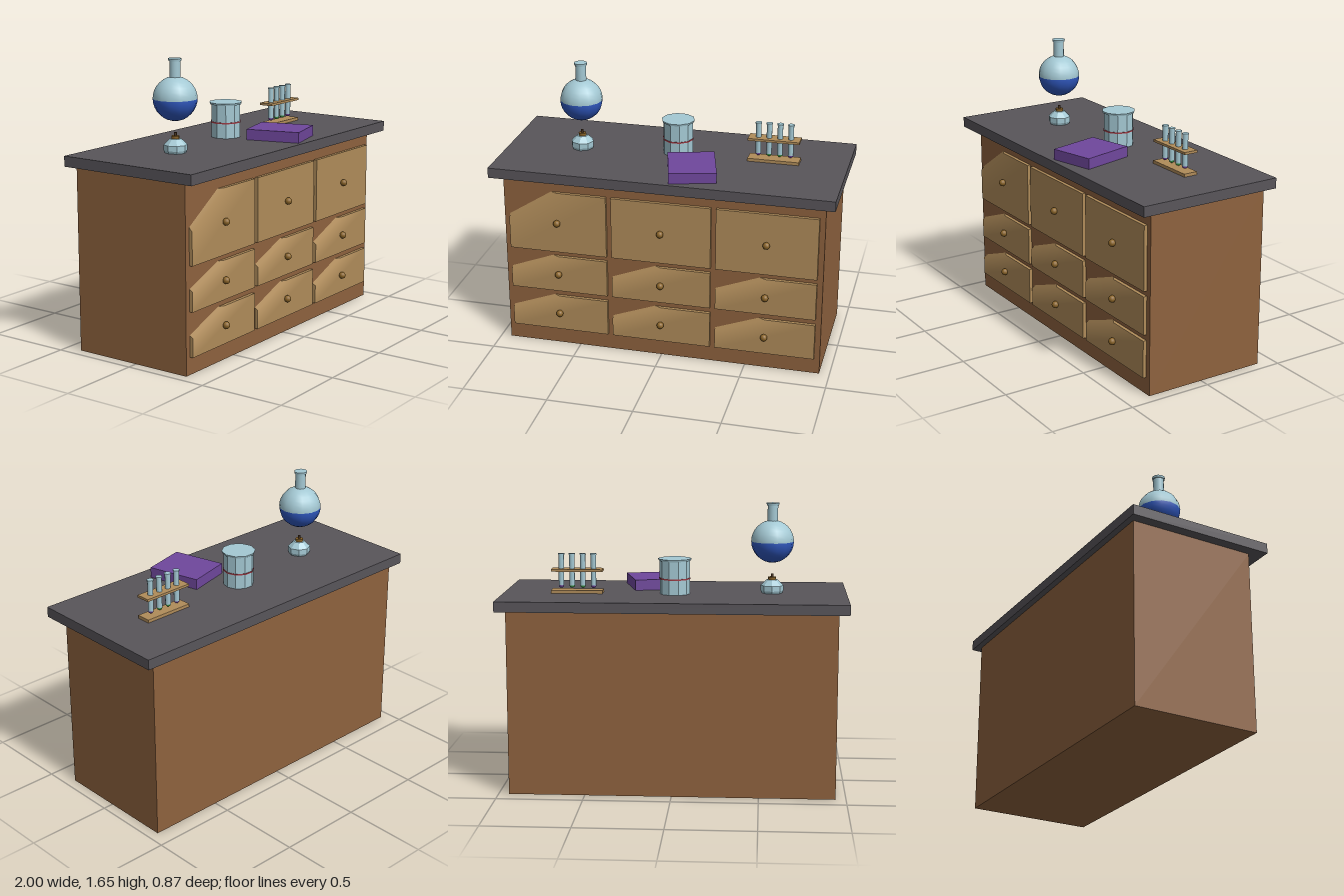
import * as THREE from 'three';

const paint = (color) => {
  const m = new THREE.MeshStandardMaterial();
  m.color.set(color);
  return m;
};
const wood = paint(0x8e623e), panel = paint(0xb08c5a), slate = paint(0x58555a);
const brass = paint(0x8a6428), glass = paint(0xa4c9d4), blue = paint(0x2f57bd);
const purple = paint(0x6f479c), red = paint(0xa03a44), green = paint(0x3f9a4a);
const glassFlat = glass.clone();
glassFlat.flatShading = true;

const TOP = 1.13; // height of the worktop surface

function add(parent, name, geometry, material, x = 0, y = 0, z = 0) {
  const mesh = new THREE.Mesh(geometry, material);
  mesh.name = name;
  mesh.position.set(x, y, z);
  parent.add(mesh);
  return mesh;
}

function group(parent, name, x, y, z) {
  const g = new THREE.Group();
  g.name = name;
  g.position.set(x, y, z);
  parent.add(g);
  return g;
}

const lathe = (points, sides) =>
  new THREE.LatheGeometry(points.map(([r, y]) => new THREE.Vector2(r, y)), sides);

// Drawer front; the upper left corner can be folded back into the cabinet
function drawerGeometry(w, h, folded) {
  const g = new THREE.BoxGeometry(w, h, 0.02, 2, 2, 1);
  const p = g.attributes.position;
  if (folded) {
    for (let i = 0; i < p.count; i++) {
      if (p.getX(i) < -w * 0.4 && p.getY(i) > h * 0.4 && p.getZ(i) > 0) p.setZ(i, -0.15);
      else if (p.getX(i) < -w * 0.4 && p.getY(i) > h * 0.4) p.setZ(i, -0.17);
    }
    g.computeVertexNormals();
  }
  return g;
}

function addDrawers(parent) {
  const rows = [[0.797, 0.375], [0.467, 0.225], [0.21, 0.22]];
  rows.forEach(([y, h], row) => {
    [-0.615, 0, 0.615].forEach((x, col) => {
      const folded = row > 0 || col === 0;
      const drawer = group(parent, 'drawer', x, y, 0.36);
      add(drawer, 'drawerFront', drawerGeometry(0.585, h, folded), panel);
      add(drawer, 'drawerKnob', new THREE.SphereGeometry(0.021, 12, 8), brass, 0, 0, 0.022);
    });
  });
}

// Round flask, half filled, hovering above the burner
function addFlask(parent) {
  const flask = group(parent, 'flask', -0.565, 1.432, 0);
  const R = 0.124, sides = 14;
  add(flask, 'flaskBulb', new THREE.SphereGeometry(R, sides, 8, 0, Math.PI * 2, 0, Math.PI / 2), glass);
  add(flask, 'flaskLiquid',
    new THREE.SphereGeometry(R, sides, 8, 0, Math.PI * 2, Math.PI / 2, Math.PI / 2), blue);
  add(flask, 'flaskNeck', new THREE.CylinderGeometry(0.031, 0.031, 0.11, sides), glass, 0, 0.16, 0);
  add(flask, 'flaskLip', new THREE.CylinderGeometry(0.038, 0.036, 0.014, sides), glass, 0, 0.216, 0);
}

function addBurner(parent) {
  const burner = group(parent, 'burner', -0.565, TOP, 0);
  add(burner, 'burnerBody',
    lathe([[0, 0], [0.06, 0], [0.067, 0.015], [0.067, 0.045], [0.032, 0.078], [0, 0.078]], 8), glassFlat);
  add(burner, 'burnerCollar', new THREE.CylinderGeometry(0.023, 0.023, 0.016, 8), brass, 0, 0.086, 0);
  add(burner, 'burnerWick', new THREE.CylinderGeometry(0.008, 0.008, 0.026, 8),
    paint(0x4a3420), 0, 0.1, 0);
}

function addBeaker(parent) {
  const beaker = group(parent, 'beaker', 0, TOP, -0.063);
  beaker.rotation.y = Math.PI / 10;
  add(beaker, 'beakerBody', new THREE.CylinderGeometry(0.088, 0.088, 0.2, 10), glassFlat, 0, 0.1, 0);
  add(beaker, 'beakerLip', new THREE.CylinderGeometry(0.098, 0.094, 0.012, 10), glassFlat, 0, 0.2, 0);
  add(beaker, 'beakerBand', new THREE.CylinderGeometry(0.091, 0.091, 0.008, 10), red, 0, 0.09, 0);
}

function addTubeRack(parent) {
  const rack = group(parent, 'tubeRack', 0.57, TOP, -0.063);
  add(rack, 'rackBase', new THREE.BoxGeometry(0.3, 0.018, 0.085), panel, 0, 0.009, 0);
  add(rack, 'rackShelf', new THREE.BoxGeometry(0.3, 0.014, 0.085), panel, 0, 0.134, 0);
  [purple, green, green, purple].forEach((liquid, i) => {
    const tube = group(rack, 'testTube', (i - 1.5) * 0.063, 0, 0);
    add(tube, 'tubeGlass', new THREE.CylinderGeometry(0.016, 0.016, 0.185, 10), glass, 0, 0.136, 0);
    add(tube, 'tubeLip', new THREE.CylinderGeometry(0.019, 0.019, 0.007, 10), glass, 0, 0.227, 0);
    add(tube, 'tubeLiquid',
      new THREE.SphereGeometry(0.0165, 10, 4, 0, Math.PI * 2, Math.PI / 2, Math.PI / 2),
      liquid, 0, 0.044, 0);
  });
}

export function createModel() {
  const model = new THREE.Group();
  model.name = 'laboratoryBench';

  // Bench
  add(model, 'cabinet', new THREE.BoxGeometry(1.88, 1.07, 0.75), wood, 0, 0.535, -0.025);
  add(model, 'worktop', new THREE.BoxGeometry(2, 0.06, 0.872), slate, 0, 1.1, 0);
  addDrawers(model);

  // Equipment on the worktop
  addFlask(model);
  addBurner(model);
  addBeaker(model);
  addTubeRack(model);
  const book = add(model, 'book', new THREE.BoxGeometry(0.27, 0.062, 0.32), purple,
    0.148, TOP + 0.031, 0.222);
  book.rotation.y = 0.255;

  return model;
}
